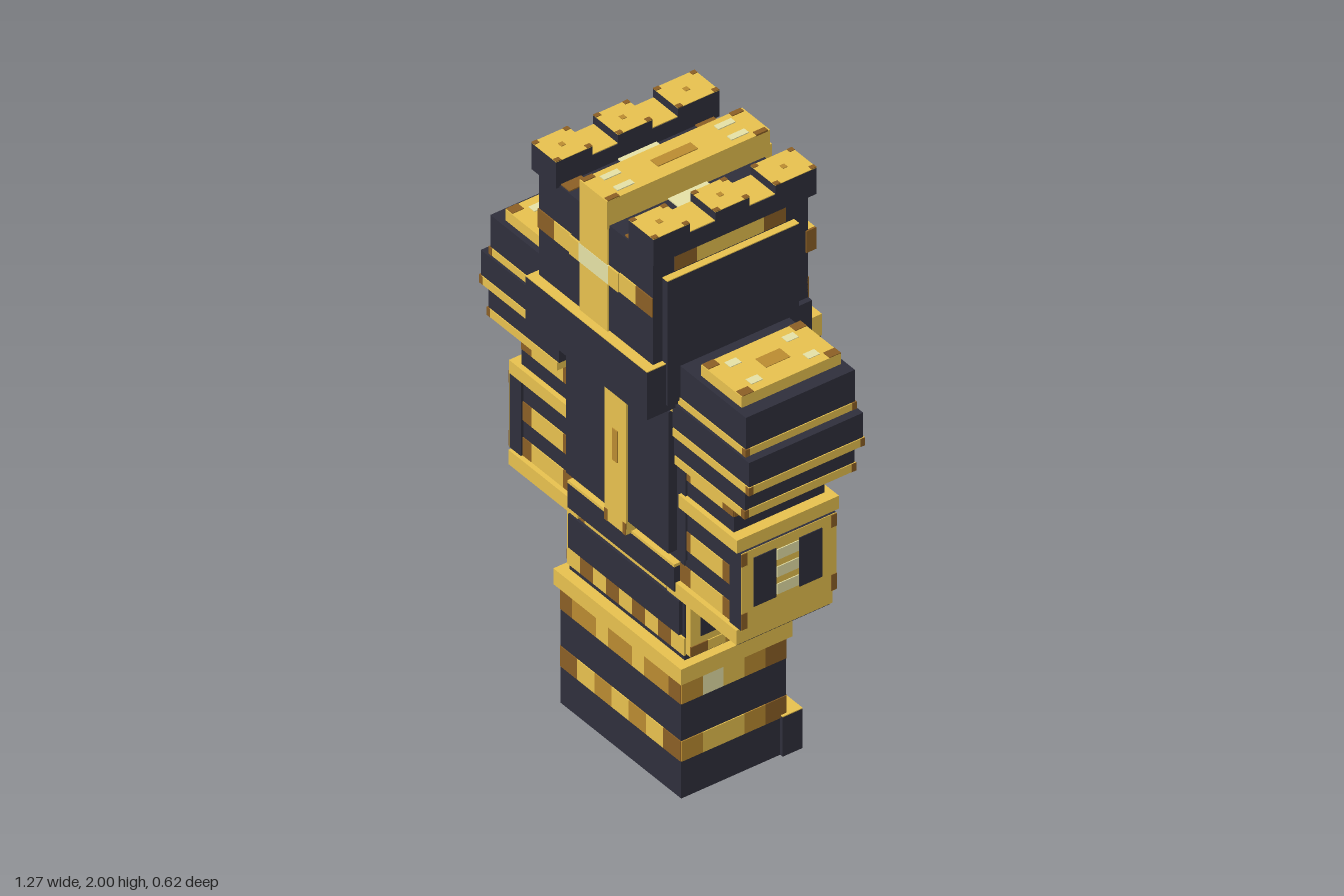
import * as THREE from 'three';

const mat = (name, color) => Object.assign(new THREE.MeshStandardMaterial({ color }), { name });

export function createModel() {
  const M = {
    d: mat('dark steel', 0x2f2f3c),
    g: mat('gold', 0xe7c14f),
    m: mat('bronze', 0xba8b31),
    b: mat('brown', 0x8b5f25),
    p: mat('pale gold', 0xe5e1a6),
  };
  const root = new THREE.Group();
  root.name = 'armouredFigure';
  let part;
  const begin = (name) => {
    part = new THREE.Group();
    part.name = name;
    root.add(part);
  };

  // Box given by its limits
  const box = (name, c, x0, x1, y0, y1, z0, z1) => {
    const mesh = new THREE.Mesh(new THREE.BoxGeometry(x1 - x0, y1 - y0, z1 - z0), M[c]);
    mesh.position.set((x0 + x1) / 2, (y0 + y1) / 2, (z0 + z1) / 2);
    mesh.name = name;
    part.add(mesh);
  };
  // The same box on both sides of the body
  const pair = (name, c, x0, x1, ...rest) => {
    box(name, c, x0, x1, ...rest);
    box(name, c, -x1, -x0, ...rest);
  };
  // Row of thin coloured plates along x (front or back) or z (a side)
  const T = 0.003;
  const row = (name, pattern, axis, a0, a1, y0, y1, at) => {
    const w = (a1 - a0) / pattern.length;
    [...pattern].forEach((c, i) => {
      if (c === '.') return;
      const s = a0 + i * w;
      if (axis === 'x') box(name, c, s, s + w, y0, y1, at - T, at + T);
      else box(name, c, at - T, at + T, y0, y1, s, s + w);
    });
  };
  // Patterned band around a block
  const band = (name, front, back, side, x0, x1, y0, y1, z0, z1) => {
    row(name, front, 'x', x0, x1, y0, y1, z1);
    row(name, back, 'x', x0, x1, y0, y1, z0);
    row(name, side, 'z', z0, z1, y0, y1, x0);
    row(name, side, 'z', z0, z1, y0, y1, x1);
  };

  // Feet and legs
  begin('legs');
  box('legBlock', 'd', -0.283, 0.283, 0, 0.43, -0.18, 0.187);
  box('heelBlock', 'd', -0.295, 0.295, 0, 0.137, -0.23, -0.16);
  box('heelTop', 'g', -0.295, 0.295, 0.137, 0.14, -0.23, -0.16);
  band('upperLegBand', 'bmmgmmgmmb', 'bmgmmgmb', 'bmgpm', -0.283, 0.283, 0.33, 0.41, -0.18, 0.187);
  band('lowerLegBand', 'bgmgmgb', 'bgmgmgb', 'bmggm', -0.283, 0.283, 0.13, 0.2, -0.18, 0.187);
  row('rearLegPlate', 'gpbbpg', 'x', -0.25, 0.25, 0.2, 0.33, -0.182);
  row('rearLegDarkPlate', 'd', 'x', -0.25, 0.25, 0.335, 0.385, -0.186);
  pair('rearLegBar', 'g', 0.06, 0.14, 0.14, 0.43, -0.2, -0.17);
  box('kneeRim', 'g', -0.3, 0.3, 0.41, 0.465, -0.19, 0.2);

  // Waist with slotted panels
  begin('waist');
  box('waistBlock', 'd', -0.27, 0.27, 0.46, 0.84, -0.165, 0.165);
  row('lowerWaistBand', 'gbgbgbgbg', 'x', -0.275, 0.275, 0.485, 0.545, 0.168);
  row('upperWaistBand', 'bgggggb', 'x', -0.27, 0.27, 0.672, 0.702, 0.168);
  box('waistPlate', 'd', -0.26, 0.26, 0.552, 0.67, 0.15, 0.178);
  box('waistRim', 'd', -0.25, 0.25, 0.702, 0.787, -0.18, 0.187);
  box('waistRimTop', 'g', -0.25, 0.25, 0.787, 0.797, -0.18, 0.187);
  box('rearSlotPanel', 'g', -0.275, 0.275, 0.5, 0.7, -0.18, -0.15);
  [-0.205, -0.07, 0.07, 0.205].forEach((x) => {
    box('rearSlot', 'd', x - 0.042, x + 0.042, 0.54, 0.67, -0.184, -0.178);
  });
  row('rearSlotInlay', 'p', 'x', -0.15, -0.125, 0.56, 0.65, -0.18);
  row('rearSlotInlay', 'p', 'x', 0.125, 0.15, 0.56, 0.65, -0.18);
  pair('hipPanel', 'g', 0.26, 0.29, 0.485, 0.7, -0.14, 0.16);
  [-0.29, 0.29].forEach((x) => row('hipLowerBand', 'bgmgb', 'z', -0.14, 0.16, 0.487, 0.52, x));
  [-0.068, 0.088].forEach((z) => {
    pair('hipSlot', 'd', 0.287, 0.293, 0.545, 0.68, z - 0.037, z + 0.037);
  });
  [0.57, 0.64].forEach((y) => {
    pair('hipInlay', 'p', 0.287, 0.293, y - 0.025, y + 0.025, -0.026, 0.046);
  });
  // Rear buckle
  box('buckle', 'g', -0.065, 0.065, 0.68, 0.81, -0.21, -0.16);
  box('buckleCentre', 'd', -0.035, 0.035, 0.72, 0.78, -0.214, -0.208);

  // Torso
  begin('torso');
  box('torsoBlock', 'd', -0.28, 0.28, 0.82, 1.4, -0.16, 0.17);
  pair('torsoEdgePatch', 'b', 0.245, 0.275, 1.23, 1.3, 0.168, 0.174);
  box('chestPlate', 'd', -0.24, 0.24, 0.835, 1.328, 0.16, 0.2);
  box('neckTrim', 'g', -0.25, 0.25, 1.328, 1.375, -0.18, 0.19);
  pair('neckTrimEnd', 'b', 0.25, 0.275, 1.328, 1.375, -0.18, 0.19);
  box('chestStripe', 'g', -0.05, 0.05, 0.79, 1.37, 0.17, 0.207);
  box('chestStripeCentre', 'm', -0.012, 0.012, 1.02, 1.13, 0.204, 0.21);
  pair('chestStripeCorner', 'b', 0.036, 0.05, 0.79, 0.83, 0.204, 0.209);
  pair('chestStripeCorner', 'b', 0.036, 0.05, 1.32, 1.37, 0.204, 0.209);
  box('backPlate', 'd', -0.25, 0.25, 0.8, 1.37, -0.187, -0.15);
  box('backTrim', 'g', -0.25, 0.25, 1.045, 1.085, -0.195, -0.15);
  box('backStripe', 'g', -0.04, 0.04, 0.79, 1.37, -0.2, -0.15);

  // Shoulders: stacked plates with gold lower trims
  begin('shoulders');
  [[0.6, 1.41, 1.52, -0.185, 0.197], [0.63, 1.3, 1.385, -0.192, 0.208],
    [0.602, 1.2, 1.272, -0.182, 0.202]].forEach(([x, y0, y1, z0, z1]) => {
    pair('shoulderPlate', 'd', 0.27, x, y0, y1, z0, z1);
    pair('shoulderTrim', 'g', 0.275, x + 0.003, y0 - 0.028, y0, z0 - 0.003, z1 + 0.003);
    [z0 + 0.004, z1 - 0.004].forEach((z) => {
      pair('trimCorner', 'b', x - 0.012, x + 0.004, y0 - 0.028, y0, z - 0.008, z + 0.008);
    });
  });
  // Patterned underside of the lowest plates
  [['b', 0.51, 0.595], ['m', 0.28, 0.5]].forEach(([c, x0, x1]) => {
    pair('shoulderUnderside', c, x0, x1, 1.168, 1.173, -0.17, -0.09);
    pair('shoulderUnderside', c, x0, x1, 1.168, 1.173, 0.11, 0.19);
  });
  pair('shoulderCap', 'g', 0.365, 0.555, 1.5, 1.558, -0.17, 0.178);
  pair('capCentre', 'm', 0.435, 0.485, 1.556, 1.56, -0.045, 0.04);
  [0.38, 0.54].forEach((x) => [-0.15, 0.155].forEach((z) => {
    pair('capCorner', 'b', x - 0.015, x + 0.015, 1.556, 1.56, z - 0.02, z + 0.02);
  }));
  [0.41, 0.51].forEach((x) => [-0.1, 0.1].forEach((z) => {
    pair('capInlay', 'p', x - 0.014, x + 0.014, 1.556, 1.56, z - 0.02, z + 0.02);
  }));

  // Arms
  begin('arms');
  pair('armBlock', 'd', 0.25, 0.498, 0.71, 1.2, -0.155, 0.163);
  [[0.25, 0.498], [-0.498, -0.25]].forEach(([x0, x1]) => {
    band('upperArmBand', 'bgggb', 'bgpgb', 'bgpgb', x0, x1, 1.1, 1.17, -0.155, 0.163);
    band('elbowBand', 'bgggb', 'bgpgb', 'bggb', x0, x1, 0.855, 0.92, -0.155, 0.163);
    band('wristBand', 'bgggb', 'bgpgb', 'bggb', x0, x1, 0.73, 0.795, -0.155, 0.163);
  });
  pair('elbowRim', 'g', 0.26, 0.535, 1.0, 1.045, -0.178, 0.18);
  pair('wristRim', 'g', 0.21, 0.535, 0.682, 0.732, -0.155, 0.182);
  pair('handUnderside', 'd', 0.215, 0.53, 0.676, 0.682, -0.15, 0.177);
  // Outer forearm guard: dark edges, gold face, two slots
  pair('armGuard', 'd', 0.49, 0.543, 0.732, 1.0, -0.162, 0.172);
  pair('armGuardFace', 'g', 0.543, 0.545, 0.732, 1.0, -0.162, 0.172);
  [-0.152, 0.162].forEach((z) => {
    pair('armGuardCorner', 'b', 0.543, 0.547, 0.735, 0.79, z - 0.01, z + 0.01);
    pair('armGuardCorner', 'b', 0.543, 0.547, 0.955, 0.998, z - 0.01, z + 0.01);
  });
  [-0.07, 0.09].forEach((z) => {
    pair('armGuardSlot', 'd', 0.543, 0.548, 0.8, 0.97, z - 0.04, z + 0.04);
  });
  [0.825, 0.885, 0.945].forEach((y) => {
    pair('armGuardInlay', 'p', 0.543, 0.548, y - 0.018, y + 0.018, -0.028, 0.048);
  });

  // Collar
  begin('collar');
  box('frontCollar', 'd', -0.285, 0.285, 1.375, 1.54, 0.19, 0.308);
  box('frontCollarTop', 'g', -0.285, 0.285, 1.54, 1.543, 0.19, 0.308);
  box('rearCollar', 'd', -0.285, 0.285, 1.375, 1.4, -0.302, -0.2);
  box('rearCollarTrim', 'g', -0.283, 0.283, 1.4, 1.475, -0.306, -0.2);
  pair('rearCollarSide', 'd', 0.26, 0.286, 1.375, 1.54, -0.27, -0.21);

  // Head
  begin('head');
  box('headBlock', 'd', -0.268, 0.268, 1.38, 1.91, -0.268, 0.275);
  pair('cheekPlate', 'd', 0.26, 0.292, 1.4, 1.832, -0.22, 0.242);
  pair('cheekPlateTop', 'g', 0.262, 0.292, 1.832, 1.835, -0.22, 0.242);
  [-0.268, 0.268].forEach((x) => row('templeBand', 'bgggb', 'z', -0.19, 0.2, 1.84, 1.905, x));
  row('faceBand', 'bg...gb', 'x', -0.268, 0.268, 1.71, 1.775, 0.276);
  row('faceBandInner', 'gpppg', 'x', -0.115, 0.115, 1.71, 1.775, 0.281);
  row('faceStripe', 'g', 'x', -0.065, 0.065, 1.543, 1.71, 0.28);
  row('faceStripe', 'g', 'x', -0.065, 0.065, 1.775, 1.92, 0.28);
  box('rearCrossUpright', 'g', -0.043, 0.043, 1.42, 1.925, -0.31, -0.26);
  box('rearCrossBar', 'g', -0.265, 0.265, 1.7, 1.775, -0.295, -0.26);
  pair('rearCrossBarEnd', 'b', 0.265, 0.272, 1.7, 1.775, -0.295, -0.26);
  row('rearHeadBand', 'bgpbpgb', 'x', -0.268, 0.268, 1.53, 1.61, -0.27);
  // Top of head
  pair('crownInlay', 'p', 0.065, 0.17, 1.908, 1.915, -0.065, 0.07);
  pair('crownCorner', 'b', 0.13, 0.17, 1.908, 1.914, -0.265, -0.2);
  pair('crownCorner', 'b', 0.13, 0.17, 1.908, 1.914, 0.2, 0.27);
  box('crestRidge', 'g', -0.065, 0.065, 1.9, 1.997, -0.287, 0.284);
  box('crestCentre', 'm', -0.018, 0.018, 1.994, 2.0, -0.07, 0.07);
  [-0.2, 0.2].forEach((z) => {
    pair('crestInlay', 'p', 0.02, 0.042, 1.994, 2.0, z - 0.03, z + 0.03);
    pair('crestCorner', 'b', 0.048, 0.065, 1.994, 2.0, z * 1.3 - 0.02, z * 1.3 + 0.02);
  });

  // Battlements
  begin('battlements');
  pair('battlementBase', 'd', 0.17, 0.287, 1.905, 1.965, -0.285, 0.287);
  [[-0.14, -0.05], [0.07, 0.16]].forEach(([z0, z1]) => {
    pair('battlementFloor', 'g', 0.172, 0.285, 1.965, 1.968, z0, z1);
  });
  [[-0.285, -0.14], [-0.05, 0.07], [0.16, 0.287]].forEach(([z0, z1]) => {
    const z = (z0 + z1) / 2;
    pair('merlon', 'd', 0.17, 0.287, 1.96, 1.996, z0, z1);
    pair('merlonTop', 'g', 0.17, 0.287, 1.996, 1.998, z0, z1);
    pair('merlonStud', 'm', 0.22, 0.237, 1.996, 2.0, z - 0.008, z + 0.008);
    [z0 + 0.009, z1 - 0.009].forEach((e) => {
      pair('merlonCorner', 'b', 0.17, 0.185, 1.996, 2.0, e - 0.009, e + 0.009);
      pair('merlonCorner', 'b', 0.272, 0.287, 1.996, 2.0, e - 0.009, e + 0.009);
    });
  });

  return root;
}
